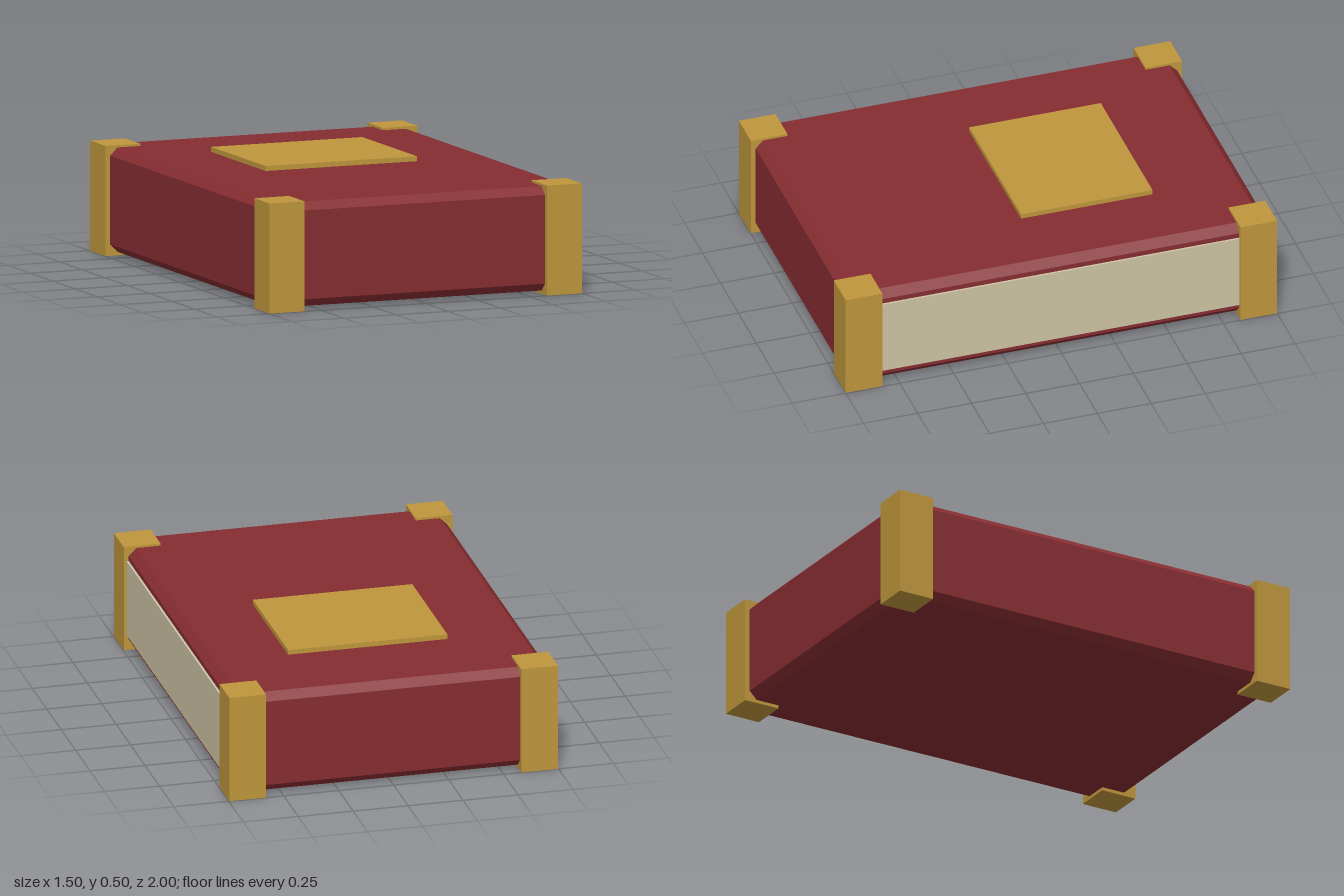
import * as THREE from 'three';

export function createModel() {
  const model = new THREE.Group();
  model.name = 'book';

  const material = (name, color) => {
    const m = new THREE.MeshStandardMaterial({ color });
    m.name = name;
    return m;
  };
  const red = material('redCover', 0x862d31);
  const gold = material('gold', 0xbe963c);
  const cream = material('creamPaper', 0xcec4a4);

  const add = (name, geometry, mat, x, y, z) => {
    const mesh = new THREE.Mesh(geometry, mat);
    mesh.name = name;
    mesh.position.set(x, y, z);
    model.add(mesh);
    return mesh;
  };

  // Cover: a block with chamfered edges
  const chamfer = 0.035;
  const w = 0.725 - chamfer, d = 0.977 - chamfer;
  const outline = new THREE.Shape([
    new THREE.Vector2(-w, -d), new THREE.Vector2(w, -d),
    new THREE.Vector2(w, d), new THREE.Vector2(-w, d),
  ]);
  const coverGeometry = new THREE.ExtrudeGeometry(outline, {
    depth: 0.395, bevelEnabled: true, bevelSegments: 1,
    bevelSize: chamfer, bevelThickness: chamfer,
  });
  coverGeometry.rotateX(-Math.PI / 2);
  add('cover', coverGeometry, red, 0, 0.05, 0);

  // Page block, showing at the open side
  add('pages', new THREE.BoxGeometry(0.06, 0.35, 1.86), cream, 0.705, 0.247, 0);

  // Raised plate on the lid
  add('coverPlate', new THREE.BoxGeometry(0.725, 0.028, 0.61), gold, 0, 0.488, -0.245);

  // Full-height corner guards
  const guard = new THREE.BoxGeometry(0.167, 0.49, 0.17);
  for (const [side, x] of [['left', 0.664], ['right', -0.664]]) {
    for (const [end, z] of [['Front', 0.915], ['Back', -0.915]]) {
      add(`${side}${end}Corner`, guard, gold, x, 0.245, z);
    }
  }

  return model;
}
